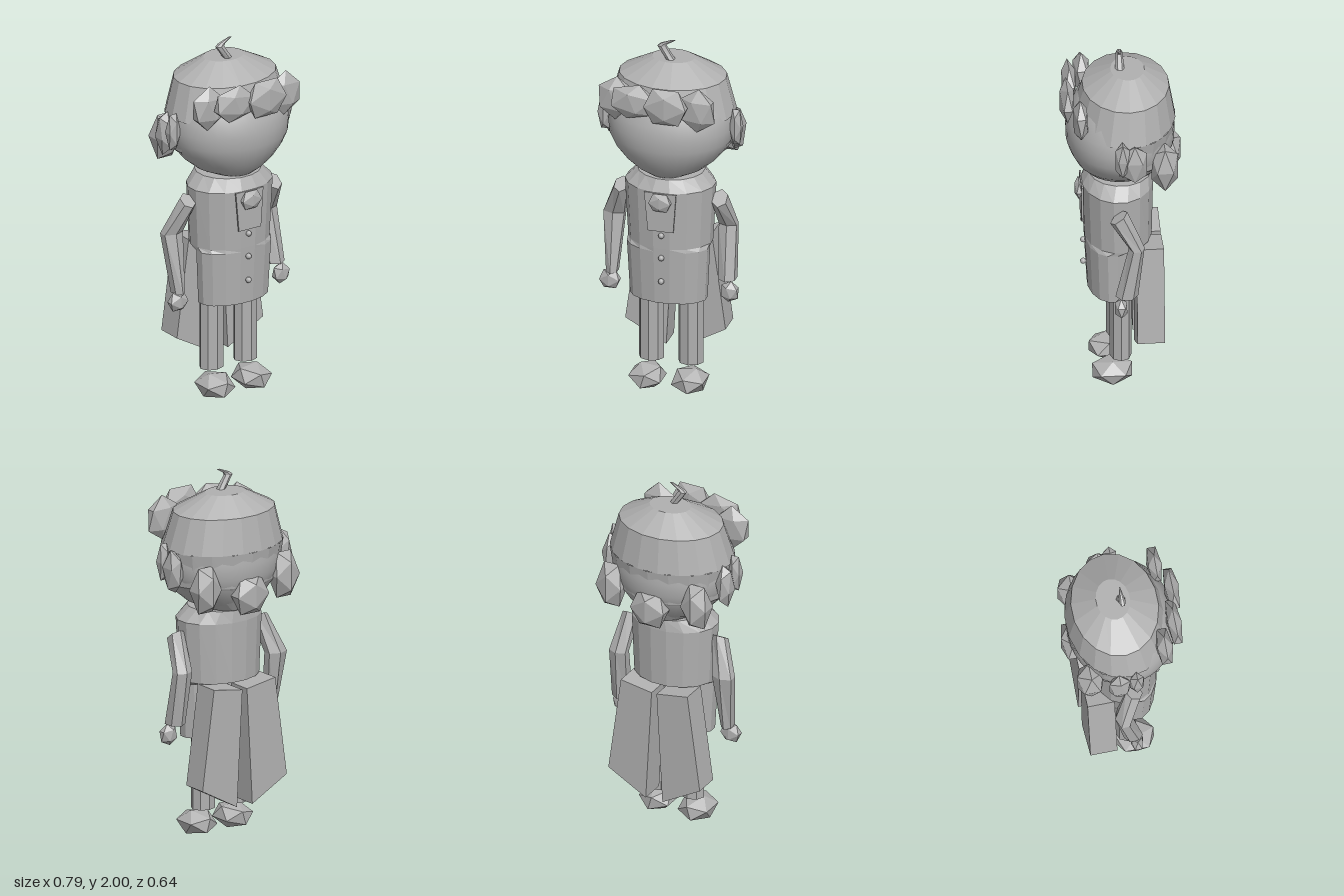
import * as THREE from 'three';
import { mergeVertices } from 'three/addons/utils/BufferGeometryUtils.js';

// Stacked elliptical rings, bottom to top: [y, rx, rz, cx, cz, tilt along z]
function loft(rings, sides, { start = 0, arc = Math.PI * 2, smooth = false } = {}) {
  const n = rings.length;
  const g = new THREE.LatheGeometry(rings.map((r) => new THREE.Vector2(1, r[0])), sides, start, arc);
  const p = g.attributes.position;
  for (let i = 0; i < p.count; i++) {
    const [y, rx, rz, cx = 0, cz = 0, tilt = 0] = rings[i % n];
    const dz = p.getZ(i) * rz;
    p.setXYZ(i, cx + p.getX(i) * rx, y + tilt * dz, cz + dz);
  }
  g.deleteAttribute('normal');
  g.deleteAttribute('uv');
  const out = smooth ? mergeVertices(g, 1e-5) : g.toNonIndexed();
  out.computeVertexNormals();
  return out;
}

// Repeat the end rings at zero radius so the loft is closed
function closed(rings) {
  const shut = (r) => [r[0], 0, 0, r[3] ?? 0, r[4] ?? 0];
  return [shut(rings[0]), ...rings, shut(rings[rings.length - 1])];
}

export function createModel() {
  const model = new THREE.Group();
  model.name = 'figure';
  const grey = new THREE.MeshStandardMaterial({ color: 0xb0b0b0, side: THREE.DoubleSide });
  grey.name = 'plain grey';

  const add = (name, geometry) => {
    const mesh = new THREE.Mesh(geometry, grey);
    mesh.name = name;
    model.add(mesh);
    return mesh;
  };
  // Faceted lump with given centre and half sizes
  const lump = (name, c, half, turn = 0) => {
    const g = new THREE.IcosahedronGeometry(1, 0);
    g.rotateZ(turn);
    g.computeBoundingBox();
    const b = g.boundingBox.max;
    g.scale(half[0] / b.x, half[1] / b.y, half[2] / b.z);
    g.translate(...c);
    g.deleteAttribute('normal');
    g.computeVertexNormals();
    return add(name, g);
  };

  // Smooth head
  add('head', loft([
    [1.265, 0, 0], [1.268, 0.12, 0.16], [1.3, 0.19, 0.195], [1.35, 0.25, 0.235],
    [1.41, 0.3, 0.265], [1.47, 0.33, 0.285], [1.54, 0.338, 0.288], [1.61, 0.33, 0.28],
    [1.7, 0.3, 0.25, 0, -0.01], [1.78, 0.24, 0.2, 0, -0.02], [1.84, 0, 0, 0, -0.02],
  ], 36, { smooth: true }));

  // Faceted hair: crown all round, lower bands only at the back
  const step = Math.PI / 18;
  add('hairCrown', loft([
    [1.61, 0.345, 0.275, 0, -0.018], [1.8, 0.29, 0.23, 0, -0.03],
    [1.89, 0.115, 0.09, 0, -0.04], [1.89, 0, 0, 0, -0.04],
  ], 18, { start: step }));
  add('hairBack', loft([
    [1.27, 0.14, 0.175, 0, -0.01], [1.42, 0.315, 0.255, 0, -0.015], [1.61, 0.345, 0.275, 0, -0.018],
  ], 10, { start: step * 8, arc: step * 20 }));

  // Bent tuft on top
  add('tuft', loft(closed([
    [1.88, 0.024, 0.025, 0.002], [1.962, 0.026, 0.018, -0.052],
    [1.975, 0.022, 0.015, -0.04], [2, 0.012, 0.005, 0.012],
  ]), 6));

  // Curls: centre, half sizes, turn
  const curls = [
    [[-0.25, 1.715, 0.185], [0.095, 0.125, 0.042], 0.5],
    [[-0.135, 1.74, 0.26], [0.115, 0.1, 0.037], 0.3],
    [[0.05, 1.74, 0.285], [0.115, 0.1, 0.037], 0],
    [[0.21, 1.715, 0.225], [0.092, 0.125, 0.037], 0.5],
    [[0.255, 1.43, -0.215], [0.075, 0.125, 0.07], 0],
    [[-0.255, 1.43, -0.215], [0.075, 0.125, 0.07], 0],
    [[0, 1.375, -0.265], [0.1, 0.105, 0.055], 0],
    [[0.345, 1.51, -0.05], [0.04, 0.12, 0.065], 0.2],
    [[0.36, 1.55, 0.015], [0.032, 0.1, 0.037], 0],
    [[-0.35, 1.51, -0.075], [0.04, 0.12, 0.055], 0.2],
    [[-0.36, 1.55, 0.015], [0.035, 0.1, 0.037], 0],
  ];
  curls.forEach(([c, half, turn], i) => lump(`curl${i + 1}`, c, half, turn));

  // Coat, cut away at the back below the waist
  add('coat', loft(closed([
    [0.55, 0.21, 0.125, 0, 0.05], [0.85, 0.225, 0.135, 0, 0.055],
    [0.87, 0.228, 0.18, 0, 0.012], [1.2, 0.245, 0.19, 0, 0.015], [1.265, 0.18, 0.17],
  ]), 16, { start: Math.PI / 16 }));

  // Shirt front, bow and buttons
  const bib = new THREE.Shape([[-0.09, 1.2], [-0.07, 0.98], [0.07, 0.98], [0.085, 1.2]]
    .map((p) => new THREE.Vector2(...p)));
  add('shirtFront', new THREE.ExtrudeGeometry(bib, { depth: 0.009, bevelEnabled: false })).position.z = 0.199;
  lump('bow', [0, 1.15, 0.218], [0.06, 0.05, 0.022]);
  for (const y of [0.95, 0.82, 0.685]) {
    const button = add('button', new THREE.SphereGeometry(0.016, 10, 8));
    button.position.set(0, y, 0.194);
  }

  // Coat tails
  for (const s of [1, -1]) {
    const tail = new THREE.Shape([[0.015, 0.84], [0.2, 0.87], [0.275, 0.325], [0.05, 0.2]]
      .map(([x, y]) => new THREE.Vector2(s * x, y)));
    const g = new THREE.ExtrudeGeometry(tail, { depth: 0.145, bevelEnabled: false });
    add(s > 0 ? 'leftTail' : 'rightTail', g).position.z = -0.217;
  }

  // Arms and hands
  add('leftArm', loft(closed([
    [0.655, 0.052, 0.06, 0.305, -0.012], [0.95, 0.056, 0.042, 0.295, -0.065],
    [1.13, 0.044, 0.045, 0.273, 0.028, -0.75],
  ]), 6));
  add('rightArm', loft(closed([
    [0.625, 0.033, 0.05, -0.322, 0.005], [0.95, 0.066, 0.045, -0.325, -0.05],
    [1.14, 0.042, 0.045, -0.268, 0.02, -0.6],
  ]), 6));
  lump('leftHand', [0.325, 0.592, 0.02], [0.045, 0.06, 0.032], 0.4);
  lump('rightHand', [-0.332, 0.582, 0.02], [0.054, 0.052, 0.032]);

  // Legs and shoes
  for (const s of [1, -1]) {
    const side = s > 0 ? 'left' : 'right';
    add(`${side}Leg`, loft(closed([
      [0.155, 0.068, 0.058, s * 0.108, 0.005], [0.57, 0.068, 0.058, s * 0.108, 0.005],
    ]), 8));
    lump(`${side}Shoe`, [s * 0.117, 0.068, 0.05], [0.087, 0.068, 0.105], s * 0.2);
  }
  return model;
}
